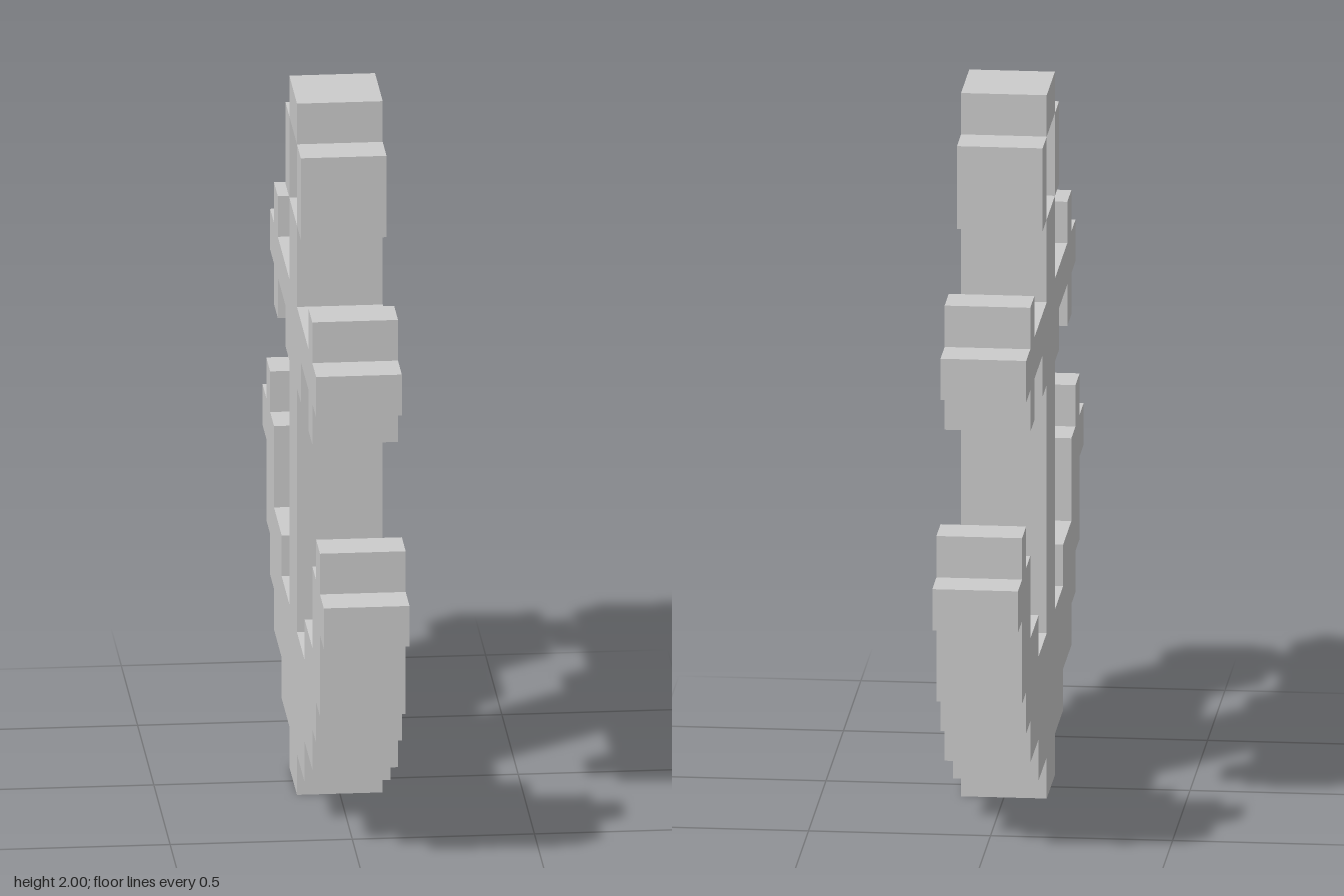
import * as THREE from 'three';

// One pixel block: the anchor is 17 blocks tall and 2 blocks thick
const U = 2 / 17;
const material = new THREE.MeshStandardMaterial({ color: 0xcccccc, flatShading: true });

// Half outline in blocks (z, y), from the foot up to the shank top
const HALF = [
  // crown and curved arm, underside
  [1, 0], [1, 1], [3, 1], [3, 2], [5, 2], [5, 3], [6, 3], [6, 4], [7, 4],
  // fluke tip
  [7, 6], [8, 6], [8, 7], [7, 7], [7, 8], [6, 8], [6, 7], [5, 7],
  // arm, upper side
  [5, 5], [3, 5], [3, 4], [1, 4],
  // shank and stock with its end knobs
  [1, 10], [2, 10], [2, 11], [4, 11], [4, 10], [5, 10], [5, 11], [6, 11],
  [6, 12], [5, 12], [5, 13], [4, 13], [4, 12], [1, 12], [1, 14],
];

function addBlock(parent, name, depth, height, y, z) {
  const mesh = new THREE.Mesh(new THREE.BoxGeometry(2 * U, height * U, depth * U), material);
  mesh.name = name;
  mesh.position.set(0, y * U, z * U);
  parent.add(mesh);
}

export function createModel() {
  const model = new THREE.Group();
  model.name = 'anchor';

  // Shank, stock and arms as one mirrored silhouette, extruded across x
  const outline = [...HALF, ...HALF.map(([z, y]) => [-z, y]).reverse()];
  const shape = new THREE.Shape(outline.map(([z, y]) => new THREE.Vector2(z * U, y * U)));
  const geometry = new THREE.ExtrudeGeometry(shape, { depth: 2 * U, bevelEnabled: false });
  geometry.translate(0, 0, -U);
  geometry.rotateY(-Math.PI / 2);
  const body = new THREE.Mesh(geometry, material);
  body.name = 'anchorBody';
  model.add(body);

  // Ring: a top block and two side blocks meeting edge to edge
  const ring = new THREE.Group();
  ring.name = 'ring';
  addBlock(ring, 'ringTop', 2, 1, 16.5, 0);
  addBlock(ring, 'ringFront', 1, 2, 15, 1.5);
  addBlock(ring, 'ringBack', 1, 2, 15, -1.5);
  model.add(ring);

  return model;
}
